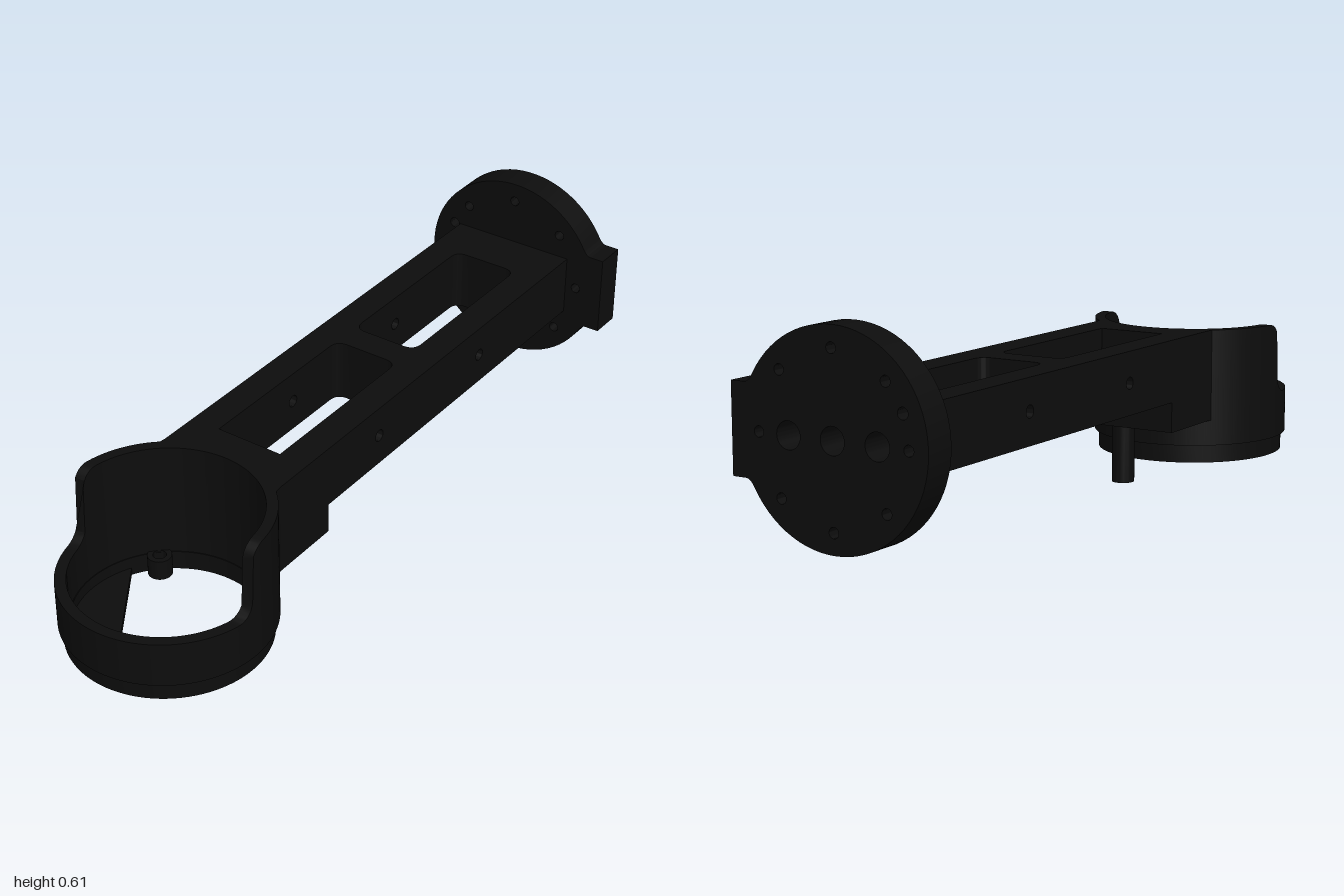
import * as THREE from 'three';
import { toCreasedNormals } from 'three/addons/utils/BufferGeometryUtils.js';

const CX = -0.012;              // centre line of the bracket
const RZ = 0.716;               // centre of the round housing
const XL = -0.195, XR = 0.173;  // arm sides
const WL = -0.11, WR = 0.086;   // window sides
const ARM_Y0 = 0.25, ARM_Y1 = 0.425;

export function createModel() {
  const model = new THREE.Group();
  model.name = 'armBracket';
  const black = new THREE.MeshStandardMaterial({ color: 0x0d0d0d });
  black.name = 'black';

  const add = (name, geometry) => {
    const mesh = new THREE.Mesh(toCreasedNormals(geometry, 0.6), black);
    mesh.name = name;
    model.add(mesh);
    return mesh;
  };
  const extrude = (shape, depth) =>
    new THREE.ExtrudeGeometry(shape, { depth, bevelEnabled: false, curveSegments: 32 });
  // Plan shape (x, z) raised from y0 to y1
  const slab = (shape, y0, y1) => extrude(shape, y1 - y0).rotateX(Math.PI / 2).translate(0, y1, 0);
  const hole = (shape, x, y, r) => shape.holes.push(new THREE.Path().absarc(x, y, r, 0, Math.PI * 2, true));
  // Rectangular section turned around the y axis
  const ring = (ro, ri, y0, y1, segments) => new THREE.LatheGeometry(
    [[ro, y0], [ro, y1], [ri, y1], [ri, y0], [ro, y0]].map(p => new THREE.Vector2(...p)), segments);

  // Mounting flange with side tab, bolt circle and three large bores
  const fy = 0.338, fr = 0.274, a = 0.536, half = 0.117;
  const flange = new THREE.Shape();
  flange.absarc(CX, fy, fr, a, Math.PI * 2 - a, false);
  flange.quadraticCurveTo(0.236, fy - half, 0.25, fy - half);
  flange.lineTo(0.29, fy - half);
  flange.lineTo(0.29, fy + half);
  flange.lineTo(0.25, fy + half);
  flange.quadraticCurveTo(0.236, fy + half, CX + fr * Math.cos(a), fy + fr * Math.sin(a));
  for (let i = 0; i < 8; i++) {
    const t = i * Math.PI / 4;
    hole(flange, CX + 0.219 * Math.cos(t), fy + 0.219 * Math.sin(t), 0.014);
  }
  hole(flange, -0.215, 0.423, 0.015);
  for (const dx of [-0.13, 0, 0.13]) hole(flange, CX + dx, fy, 0.035);
  add('flange', extrude(flange, 0.09).translate(0, 0, -1));

  // Side rails of the arm, each with two cross holes
  const rail = new THREE.Shape();
  rail.moveTo(-0.91, ARM_Y0);
  rail.lineTo(0.37, ARM_Y0);
  rail.lineTo(0.37, ARM_Y1);
  rail.lineTo(-0.91, ARM_Y1);
  rail.closePath();
  for (const z of [0.05, -0.44]) hole(rail, z, fy, 0.017);
  for (const [name, x0, x1] of [['rightRail', XL, WL], ['leftRail', WR, XR]]) {
    // shape x runs along +z after the turn
    add(name, extrude(rail, x1 - x0).rotateY(-Math.PI / 2).translate(x1, 0, 0));
  }

  // Cross bars between the windows, flared to round the window corners
  const crossBar = (name, z0, z1, f0, f1) => {
    const s = new THREE.Shape();
    s.moveTo(WL, z0 - f0);
    s.quadraticCurveTo(WL, z0, WL + f0, z0);
    s.lineTo(WR - f0, z0);
    s.quadraticCurveTo(WR, z0, WR, z0 - f0);
    s.lineTo(WR, z1 + f1);
    s.quadraticCurveTo(WR, z1, WR - f1, z1);
    s.lineTo(WL + f1, z1);
    s.quadraticCurveTo(WL, z1, WL, z1 + f1);
    s.closePath();
    add(name, slab(s, ARM_Y0, ARM_Y1));
  };
  crossBar('rearCrossBar', -0.91, -0.76, 0, 0.035);
  crossBar('middleCrossBar', -0.24, -0.155, 0.035, 0.035);

  // Collar that blends the arm into the housing, above a thicker foot block
  const collar = z0 => {
    const r = 0.265, t = Math.atan2(0.155, 0.215);
    const s = new THREE.Shape();
    s.moveTo(XL, z0);
    s.lineTo(XR, z0);
    s.lineTo(XR, 0.48);
    s.quadraticCurveTo(XR, 0.52, CX + r * Math.cos(t), RZ - r * Math.sin(t));
    s.absarc(CX, RZ, r, -t, -Math.PI + t, true);
    s.quadraticCurveTo(XL, 0.52, XL, 0.48);
    s.closePath();
    return s;
  };
  add('collar', slab(collar(0.37), 0.26, ARM_Y1));
  add('footBlock', slab(collar(0.28), 0.165, 0.26));

  // Locating pin
  add('pin', new THREE.CylinderGeometry(0.032, 0.032, 0.2, 32).translate(CX, 0.1, 0.327));

  // Housing wall: tall at the back, stepping down to a low front with rounded corners
  const low = 0.22, R = 0.05, edge = 0.73;
  const wallTop = z => {
    if (z < edge - R) return ARM_Y1;
    if (z < edge) return ARM_Y1 - R + Math.sqrt(R * R - (z - edge + R) ** 2);
    if (z < edge + R) return low + R - Math.sqrt(R * R - (edge + R - z) ** 2);
    return low;
  };
  const wall = ring(0.282, 0.252, 0.092, low, 240).translate(CX, 0, RZ);
  const p = wall.attributes.position;
  for (let i = 0; i < p.count; i++) if (p.getY(i) > 0.2) p.setY(i, wallTop(p.getZ(i)));
  add('housingWall', wall);
  add('housingLip', ring(0.27, 0.25, 0.04, 0.095, 96).translate(CX, 0, RZ));

  // Floor segment cut by a slanted chord
  const floor = new THREE.Shape();
  floor.absarc(CX, RZ, 0.255, 1.465, 3.63, false);
  floor.closePath();
  hole(floor, CX - 0.166, RZ + 0.164, 0.018);
  add('floorSegment', slab(floor, 0.042, 0.062));

  // Screw bosses
  for (const [sx, sz] of [[-1, -1], [1, -1], [1, 1]]) {
    add('screwBoss', ring(0.033, 0.018, 0.042, 0.1, 32).translate(CX + sx * 0.166, 0, RZ + sz * 0.165));
  }
  return model;
}
